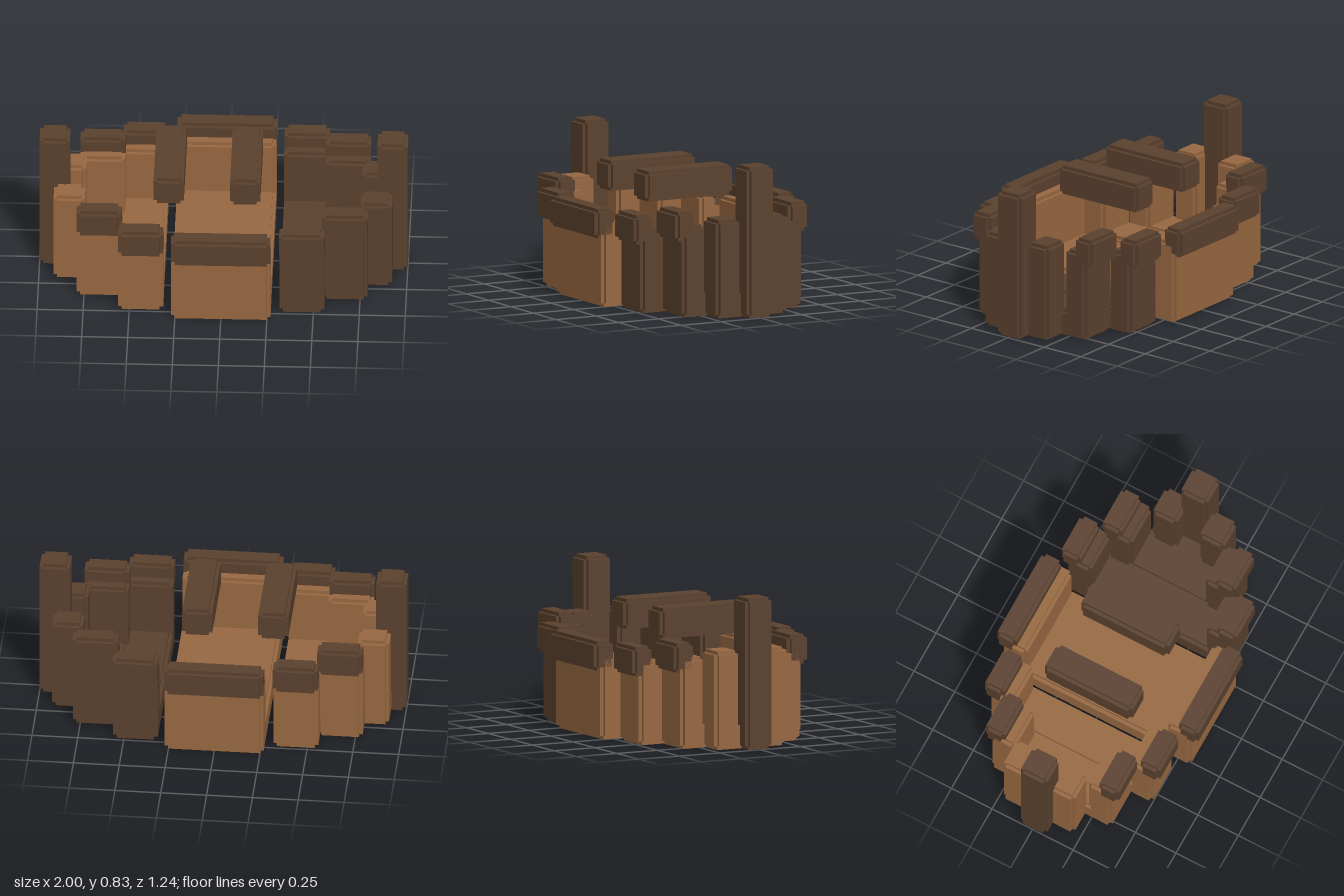
import * as THREE from 'three';
import { mergeGeometries } from 'three/addons/utils/BufferGeometryUtils.js';

// Block with small square notches along every edge
function notchedBlock(x0, x1, y0, y1, z0, z1, c = 0.02) {
  const w = x1 - x0, h = y1 - y0, d = z1 - z0, n = 2 * c;
  const geometry = mergeGeometries([
    new THREE.BoxGeometry(w, h - n, d - n),
    new THREE.BoxGeometry(w - n, h, d - n),
    new THREE.BoxGeometry(w - n, h - n, d),
  ]);
  return geometry.translate((x0 + x1) / 2, (y0 + y1) / 2, (z0 + z1) / 2);
}

export function createModel() {
  const group = new THREE.Group();
  const lightWood = new THREE.MeshStandardMaterial({ color: 0x986841 });
  lightWood.name = 'lightWood';
  const darkWood = new THREE.MeshStandardMaterial({ color: 0x5b412e });
  darkWood.name = 'darkWood';

  const add = (name, material, ...box) => {
    const mesh = new THREE.Mesh(notchedBlock(...box), material);
    mesh.name = name;
    group.add(mesh);
  };

  const floorTop = 0.15;

  // Trough section: a floor, two side walls and a rail on each wall
  function hullSection(name, wood, x0, x1, outer, wallTop, railBottom) {
    add(name + 'Floor', wood, x0, x1, 0, floorTop, -outer, outer);
    for (const s of [1, -1]) {
      const span = (a, b) => (s > 0 ? [a, b] : [-b, -a]);
      add(name + 'Wall', wood, x0, x1, 0, wallTop, ...span(outer - 0.145, outer));
      add(name + 'Rail', darkWood, x0, x1, railBottom, railBottom + 0.16, ...span(outer - 0.08, outer + 0.04));
    }
  }

  hullSection('middle', lightWood, -0.27, 0.27, 0.58, 0.46, 0.38);

  // The two ends mirror each other, one in each wood
  for (const side of [1, -1]) {
    const wood = side > 0 ? darkWood : lightWood;
    const xs = (a, b) => (side > 0 ? [a, b] : [-b, -a]);
    hullSection('inner', wood, ...xs(0.315, 0.56), 0.5, 0.46, 0.38);
    hullSection('outer', wood, ...xs(0.545, 0.79), 0.37, 0.5, 0.42);

    // Narrow tip with a column on each side of the post, slightly off centre
    const shift = 0.01 * side;
    add('tipFloor', wood, ...xs(0.75, 0.92), 0, floorTop, -0.22 + shift, 0.22 + shift);
    add('tipColumn', wood, ...xs(0.75, 0.92), 0, 0.54, 0.07 + shift, 0.22 + shift);
    add('tipColumn', wood, ...xs(0.75, 0.92), 0, 0.54, -0.22 + shift, -0.07 + shift);
    add('endPost', darkWood, ...xs(0.835, 1), 0, 0.83, -0.082, 0.082);
  }

  // Cross benches
  for (const x of [-0.375, 0.04]) {
    add('bench', darkWood, x, x + 0.165, 0.545, 0.71, -0.27, 0.27);
  }
  return group;
}
